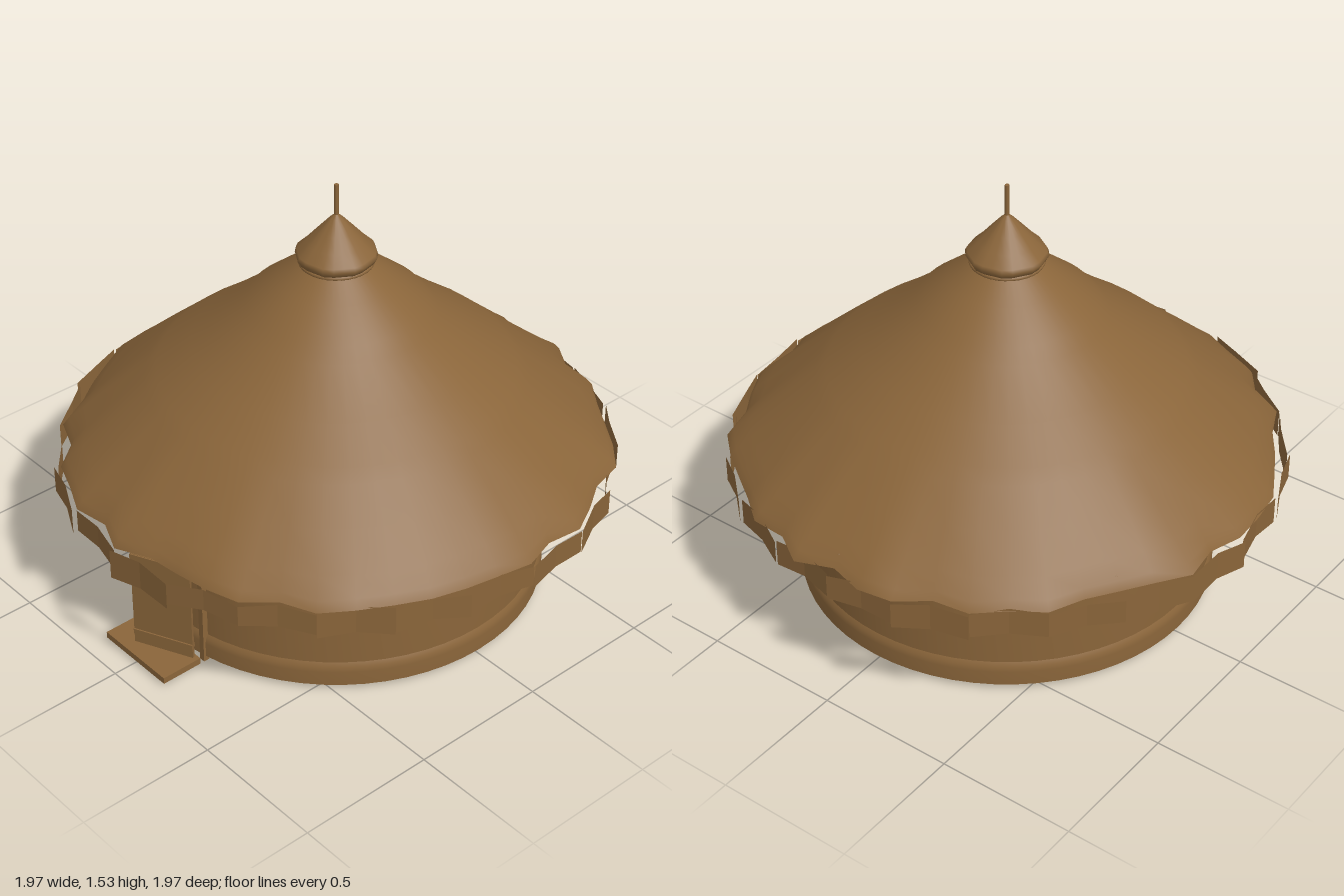
import * as THREE from 'three';

const brown = new THREE.MeshStandardMaterial({ color: 0x8a653a, side: THREE.DoubleSide });
brown.name = 'earthBrown';
const grey = new THREE.MeshStandardMaterial({ color: 0xb4b4b4 });
grey.name = 'floorGrey';

const SIDES = 48;
// ragged eave radius in hundredths, one per 7.5 degrees, clockwise from the back
const EAVE = [
  93, 99, 94, 97.5, 95, 95, 96.5, 98, 93.5, 95, 97, 93, 96, 94.5, 94.5, 95,
  95, 96, 97.5, 93.5, 97, 95, 93, 92, 97, 92.5, 97, 95.5, 96.5, 92.5, 96.5, 93,
  93.5, 94.5, 97, 96.5, 96.5, 93.5, 98, 94.5, 93, 93, 97, 95.5, 97.5, 93.5, 98, 97.5];

// repeatable jitter in -1..1
function makeRandom(seed) {
  let s = seed;
  return () => {
    s = (s * 16807) % 2147483647;
    return (s / 2147483647) * 2 - 1;
  };
}

function polar(r, y, step) {
  const a = (step / SIDES) * Math.PI * 2;
  return [r * Math.sin(a), y, -r * Math.cos(a)];
}

// skin between rows of points listed from top to bottom
function skin(rows, closed) {
  const n = rows[0].length;
  const index = [];
  for (let i = 0; i < rows.length - 1; i++) {
    for (let j = 0; j < (closed ? n : n - 1); j++) {
      const k = (j + 1) % n;
      const a = i * n + j, b = i * n + k, c = a + n, d = b + n;
      index.push(a, b, c, b, d, c);
    }
  }
  const g = new THREE.BufferGeometry();
  g.setAttribute('position', new THREE.Float32BufferAttribute(rows.flat(2), 3));
  g.setIndex(index);
  g.computeVertexNormals();
  return g;
}

function add(parent, name, geometry, material = brown, pos = [0, 0, 0]) {
  const m = new THREE.Mesh(geometry, material);
  m.name = name;
  m.position.set(...pos);
  parent.add(m);
  return m;
}

const box = (w, h, d) => new THREE.BoxGeometry(w, h, d);
const lathe = (pts, n = 64) =>
  new THREE.LatheGeometry(pts.map(p => new THREE.Vector2(...p)), n);

export function createModel() {
  const hut = new THREE.Group();
  hut.name = 'roundHut';
  const random = makeRandom(71);

  // round wall with a thicker foot, and the floor inside it
  add(hut, 'wall', lathe([[0.73, 0.108], [0.73, 0.3], [0.725, 0.62]]));
  add(hut, 'wallTop', lathe([[0.725, 0.62], [0.68, 0.62]]));
  add(hut, 'innerWall', lathe([[0.68, 0.62], [0.68, 0.02]]));
  add(hut, 'wallFoot', lathe([[0.741, 0.02], [0.741, 0.075], [0.738, 0.095], [0.73, 0.11]]));
  add(hut, 'wallBottom', lathe([[0.68, 0.02], [0.741, 0.02]]));
  add(hut, 'floor', new THREE.CylinderGeometry(0.682, 0.682, 0.01, 64), grey, [0, 0.024, 0]);

  // thatched roof, more ragged towards the eave
  const profile = [[0.12, 1.245], [0.2, 1.18], [0.305, 1.095], [0.345, 1.05], [0.5, 0.925],
    [0.62, 0.835], [0.66, 0.8], [0.77, 0.705], [0.88, 0.605], [0.935, 0.555], [0.955, 0.525]];
  const rows = profile.map(([r, y]) => EAVE.map((e, j) => {
    const ragged = Math.pow(r / 0.955, 8);
    return polar(r * (1 + (e / 95.5 - 1) * ragged), y, j);
  }));
  add(hut, 'thatchRoof', skin(rows, true));

  // hanging fringe of folded strips
  const fringe = new THREE.Group();
  fringe.name = 'eaveFringe';
  hut.add(fringe);
  for (let t = 0; t < SIDES / 2; t++) {
    const r = 0.972 + random() * 0.013;
    const drop = 0.428 + random() * 0.012;
    const top = [], bottom = [];
    for (let j = 0; j < 3; j++) {
      const rr = r + (j === 1 ? -0.012 : 0.006);
      const lift = j === 1 ? 0.012 : 0;
      const step = t * 2 + j;
      top.push(polar(rr, 0.522 + lift + random() * 0.006, step));
      bottom.push(polar(rr, drop + lift + random() * 0.006, step));
    }
    const g = skin([top, bottom], false).toNonIndexed();
    g.computeVertexNormals();
    add(fringe, 'fringeStrip', g);
  }

  // rafters under the thatch
  const rafters = new THREE.Group();
  rafters.name = 'rafters';
  hut.add(rafters);
  for (let j = 0; j < SIDES; j += 4) {
    const path = new THREE.LineCurve3(
      new THREE.Vector3(...polar(0.14, 1.2, j)), new THREE.Vector3(...polar(0.9, 0.56, j)));
    add(rafters, 'rafter', new THREE.TubeGeometry(path, 1, 0.009, 6));
  }

  // peak cap, its binding and the pole
  const cap = [[0, 1.425], [0.022, 1.405], [0.06, 1.362], [0.098, 1.318], [0.133, 1.283],
    [0.139, 1.27], [0.128, 1.25], [0.11, 1.243]];
  add(hut, 'peakCap', skin(cap.map(([r, y]) => Array.from({ length: 24 }, (_, j) =>
    polar(r * (1 + 0.025 * Math.sin(j * 2.1)), y, j * 2))), true));
  const binding = add(hut, 'capBinding', new THREE.TorusGeometry(0.122, 0.008, 8, 32), brown, [0, 1.243, 0]);
  binding.rotation.x = Math.PI / 2;
  add(hut, 'pole', new THREE.CylinderGeometry(0.008, 0.008, 0.13, 8), brown, [0, 1.465, 0]);

  // door frame against the wall
  for (const x of [-0.125, 0.14]) {
    add(hut, 'doorPost', box(0.022, 0.44, 0.024), brown, [x, 0.22, 0.722]);
  }
  add(hut, 'doorLintel', box(0.287, 0.022, 0.024), brown, [0.0075, 0.44, 0.725]);

  // door leaf standing ajar
  const door = new THREE.Group();
  door.name = 'door';
  door.position.set(0.042, 0, 0.818);
  door.rotation.y = 0.434;
  hut.add(door);
  add(door, 'doorLeaf', box(0.222, 0.385, 0.012), brown, [0, 0.2275, 0]);
  for (const y of [0.085, 0.41]) {
    add(door, 'doorBatten', box(0.222, 0.018, 0.022), brown, [0, y, 0]);
  }

  // doorstep
  add(hut, 'doorstep', box(0.32, 0.024, 0.157), brown, [0.002, 0.024, 0.837]);

  return hut;
}
